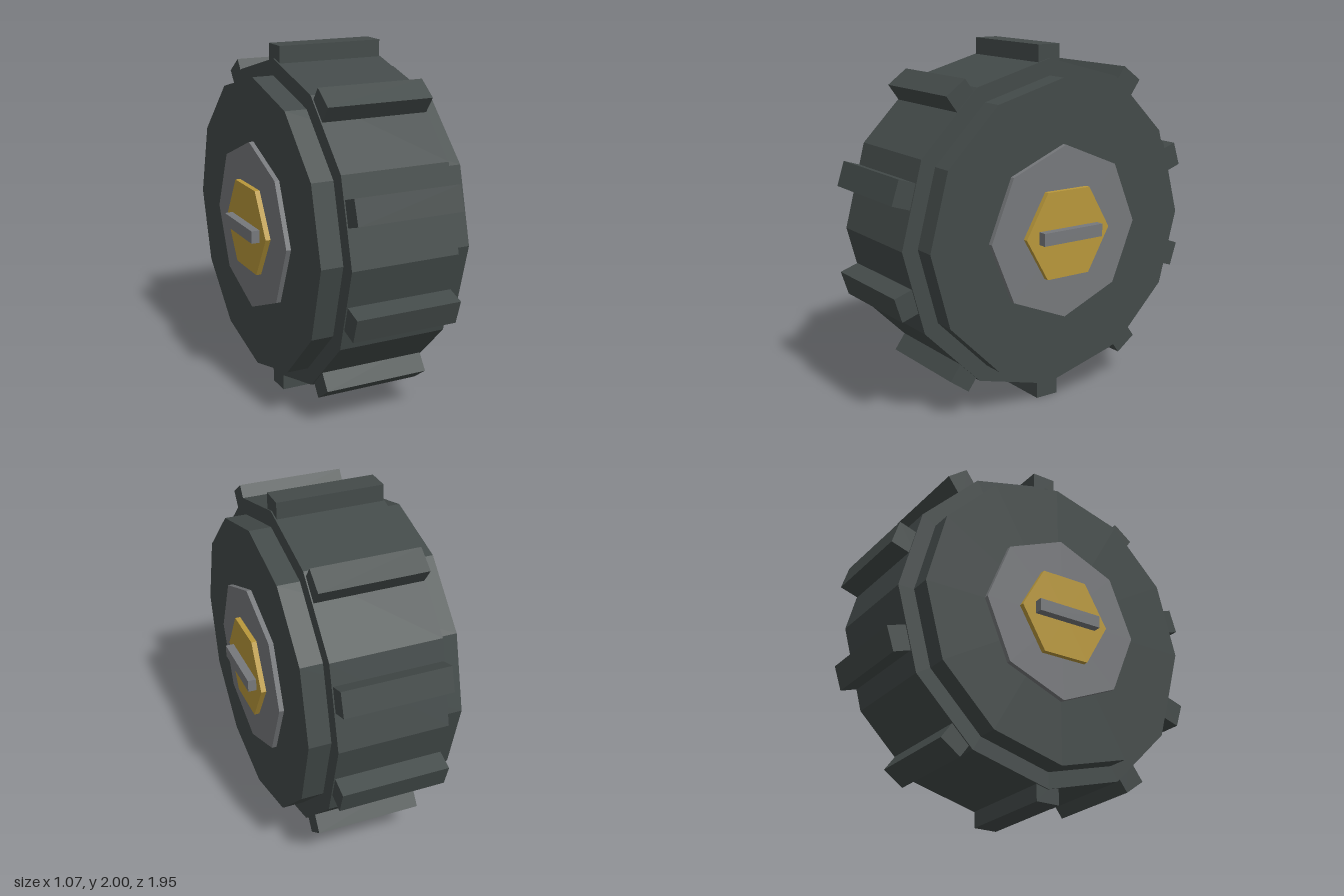
import * as THREE from 'three';

const flat = (name, color) => {
  const m = new THREE.MeshStandardMaterial({ color, flatShading: true });
  m.name = name;
  return m;
};

export function createModel() {
  const rubber = flat('dark rubber', 0x434a49);
  const steel = flat('grey steel', 0x76787b);
  const brass = flat('brass', 0xb8973b);

  const wheel = new THREE.Group();
  wheel.name = 'wheel';
  wheel.position.y = 1;

  const add = (name, geometry, material, x = 0) => {
    const mesh = new THREE.Mesh(geometry, material);
    mesh.name = name;
    mesh.position.x = x;
    wheel.add(mesh);
    return mesh;
  };
  // Faceted disc lying across the axle, with a corner pointing forward
  const disc = (radius, width, sides) =>
    new THREE.CylinderGeometry(radius, radius, width, sides).rotateZ(Math.PI / 2);

  // Tyre: wide tread band and narrower sidewalls
  add('treadBand', disc(0.925, 0.62, 12), rubber);
  add('sidewalls', disc(0.833, 0.868, 12), rubber);

  // Ten grip lugs around the tread
  const lugGeometry = new THREE.BoxGeometry(0.606, 0.16, 0.14).translate(0, 0.92, 0);
  for (let i = 0; i < 10; i++) {
    add('treadLug', lugGeometry, rubber).rotation.x = (i * Math.PI) / 5;
  }

  // Hub plate, nut and crossbar on both sides
  for (const [label, s] of [['left', 1], ['right', -1]]) {
    add(label + 'HubPlate', disc(0.48, 0.06, 8), steel, s * 0.431);
    add(label + 'HubNut', disc(0.277, 0.06, 6), brass, s * 0.46);
    add(label + 'HubBar', new THREE.BoxGeometry(0.077, 0.07, 0.39), steel, s * 0.4985);
  }

  const model = new THREE.Group();
  model.name = 'treadedWheel';
  model.add(wheel);
  return model;
}
